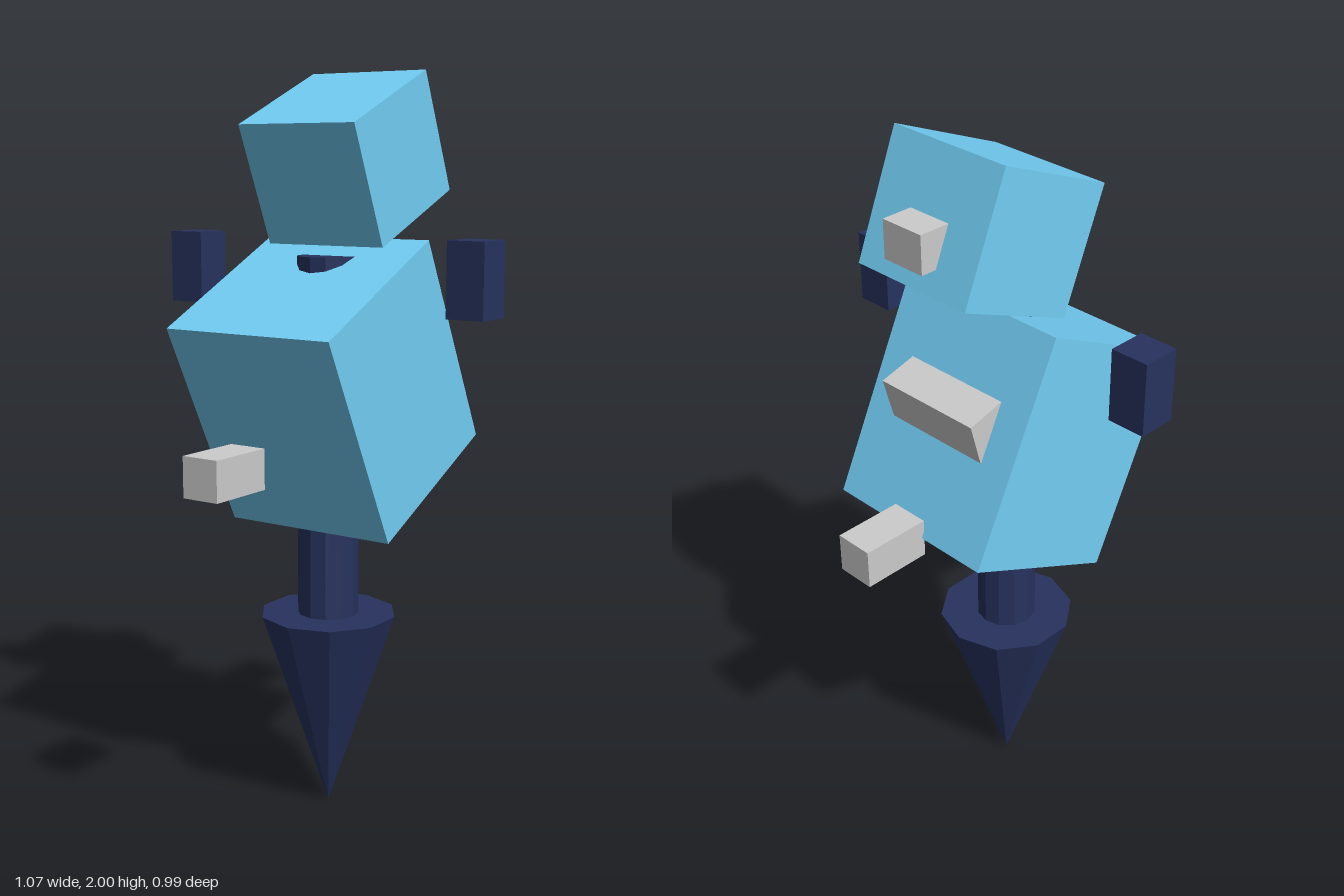
import * as THREE from 'three';

const rad = THREE.MathUtils.degToRad;

export function createModel() {
  const model = new THREE.Group();
  model.name = 'tiltedBlockFigure';

  const blue = new THREE.MeshStandardMaterial({ color: 0x72cdf4, flatShading: true });
  const navy = new THREE.MeshStandardMaterial({ color: 0x27325e, flatShading: true });
  const grey = new THREE.MeshStandardMaterial({ color: 0xcccccc, flatShading: true });

  function add(name, geometry, material, x, y, z = 0, tilt = 0) {
    const mesh = new THREE.Mesh(geometry, material);
    mesh.name = name;
    mesh.position.set(x, y, z);
    mesh.rotation.z = rad(tilt);
    model.add(mesh);
    return mesh;
  }
  const box = (w, h, d) => new THREE.BoxGeometry(w, h, d);

  // Tilted torso and head
  add('torso', box(0.5, 0.61, 0.505), blue, 0, 1.185, 0, 26);
  add('head', box(0.36, 0.336, 0.36), blue, 0.085, 1.777, 0, 23);

  // Snout on the head, slanted plate on the torso
  add('snout', box(0.11, 0.1, 0.125), grey, 0.28, 1.8);
  add('chestPlate', box(0.15, 0.12, 0.315), grey, 0.194, 1.324, 0, -15);

  // Spike standing on its tip, with the pole that runs up through the torso
  const spike = new THREE.ConeGeometry(0.188, 0.553, 10);
  spike.rotateX(Math.PI);
  spike.rotateY(Math.PI / 2);
  add('spike', spike, navy, 0, 0.2765);
  add('pole', new THREE.CylinderGeometry(0.083, 0.083, 0.975, 12), navy, 0, 1.0375);

  // Mirrored pairs: floating grey blocks along x, navy blocks along z
  for (const s of [1, -1]) {
    add(s > 0 ? 'leftBlock' : 'rightBlock', box(0.187, 0.105, 0.105), grey, s * 0.443, 1.018);
    add(s > 0 ? 'frontBlock' : 'backBlock', box(0.105, 0.193, 0.105), navy, 0, 1.482, s * 0.443);
  }

  return model;
}
